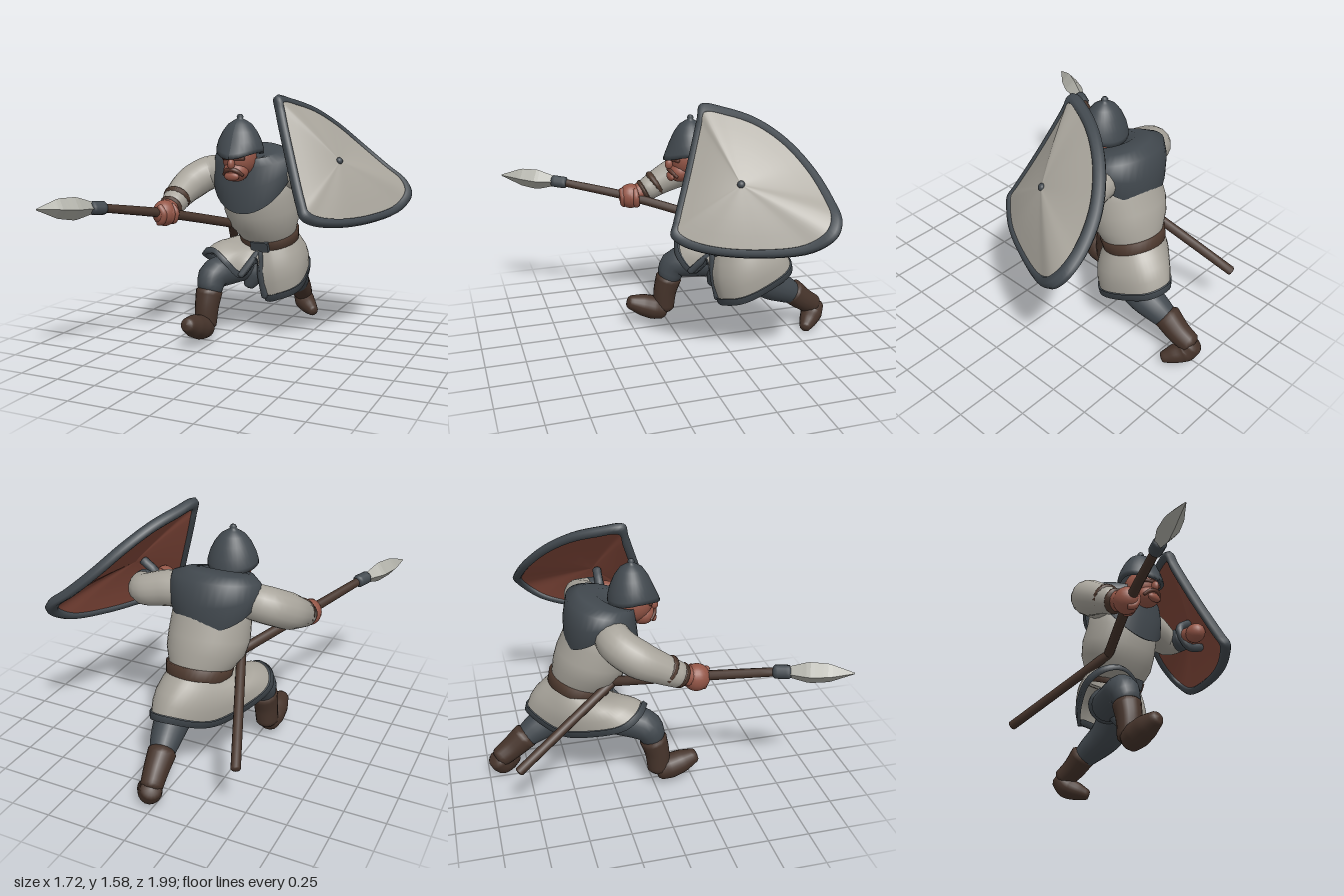
import * as THREE from 'three';

const mat = (name, color, side = THREE.FrontSide) => {
  const m = new THREE.MeshStandardMaterial({ color, side });
  m.name = name;
  return m;
};
const V = (x, y, z) => new THREE.Vector3(x, y, z);

// Skin a list of rings (equal point counts) into one smooth surface
function loft(rings, closeRings = false) {
  const n = rings[0].length, pos = [], idx = [];
  rings.forEach(r => r.forEach(p => pos.push(p.x, p.y, p.z)));
  const last = closeRings ? rings.length : rings.length - 1;
  for (let i = 0; i < last; i++) for (let j = 0; j < n; j++) {
    const k = (j + 1) % n, a = i * n, b = ((i + 1) % rings.length) * n;
    idx.push(a + j, b + j, a + k, a + k, b + j, b + k);
  }
  const g = new THREE.BufferGeometry();
  g.setAttribute('position', new THREE.Float32BufferAttribute(pos, 3));
  g.setIndex(idx);
  g.computeVertexNormals();
  return g;
}

// Rounded tube through [x, y, z, radius] points
function limb(pts, sides = 16, flat = 1) {
  const curve = new THREE.CatmullRomCurve3(pts.map(p => V(p[0], p[1], p[2])));
  const n = (pts.length - 1) * 5, f = curve.computeFrenetFrames(n), rings = [];
  const ring = (i, push, scale) => {
    const t = curve.getUtoTmapping(i / n), s = t * (pts.length - 1);
    const k = Math.min(Math.floor(s), pts.length - 2);
    const r = THREE.MathUtils.lerp(pts[k][3], pts[k + 1][3], s - k);
    const c = curve.getPoint(t).addScaledVector(f.tangents[i], push * r);
    rings.push(Array.from({ length: sides }, (_, j) => {
      const a = j / sides * Math.PI * 2;
      return c.clone().addScaledVector(f.normals[i], Math.cos(a) * r * scale)
        .addScaledVector(f.binormals[i], -Math.sin(a) * r * scale * flat);
    }));
  };
  ring(0, -0.4, 0); ring(0, -0.28, 0.75);
  for (let i = 0; i <= n; i++) ring(i, 0, 1);
  ring(n, 0.28, 0.75); ring(n, 0.4, 0);
  return loft(rings);
}

// Ellipse ring; slope lowers the front, drop(sin) shapes the edge further
const oval = (x, y, z, rx, rz, slope = 0, drop = () => 0, n = 40) =>
  Array.from({ length: n }, (_, j) => {
    const a = j / n * Math.PI * 2, s = Math.sin(a);
    return V(x + rx * Math.cos(a), y - rz * s * slope - drop(s), z + rz * s);
  });

export function createModel() {
  const model = new THREE.Group();
  const cloth = mat('pale cloth', 0xa9a59c, THREE.DoubleSide);
  const blue = mat('slate blue', 0x42494f, THREE.DoubleSide);
  const leather = mat('brown leather', 0x46342b);
  const belt = mat('belt leather', 0x503b30);
  const skin = mat('skin', 0x945647);
  const hair = mat('dark hair', 0x5c372c);
  const lining = mat('shield lining', 0x84493b, THREE.DoubleSide);
  const steel = mat('steel', 0xacaca4);

  const add = (name, geo, material) => {
    const m = new THREE.Mesh(geo, material);
    m.name = name;
    model.add(m);
    return m;
  };
  const ball = (name, material, x, y, z, rx, ry, rz) => {
    const m = add(name, new THREE.SphereGeometry(1, 20, 14), material);
    m.position.set(x, y, z);
    m.scale.set(rx, ry, rz);
    return m;
  };

  // Torso, mantle and belt
  add('torso', loft([
    oval(-0.04, 0.64, -0.415, 0.175, 0.165, 0.32), oval(-0.045, 0.69, -0.395, 0.19, 0.18, 0.32),
    oval(-0.06, 0.77, -0.36, 0.235, 0.205, 0.3), oval(-0.07, 0.86, -0.33, 0.245, 0.212, 0.28),
    oval(-0.07, 0.96, -0.3, 0.24, 0.2, 0.25), oval(-0.08, 1.09, -0.28, 0.23, 0.185, 0.25),
    oval(-0.09, 1.17, -0.25, 0.15, 0.13, 0.3),
  ]), cloth);
  const bib = k => s => k * (s > 0 ? 0.28 : 0.16) * Math.abs(s) ** 1.15;
  add('mantle', loft([
    oval(-0.09, 1.125, -0.28, 0.255, 0.2, 0, bib(1)), oval(-0.09, 1.12, -0.28, 0.277, 0.217, 0, bib(1)),
    oval(-0.09, 1.165, -0.28, 0.282, 0.218, 0.1, bib(0.5)), oval(-0.09, 1.21, -0.275, 0.265, 0.2, 0.25, bib(0.1)),
    oval(-0.095, 1.23, -0.24, 0.2, 0.165, 0.25), oval(-0.1, 1.22, -0.19, 0.13, 0.12, 0.4),
    oval(-0.1, 1.17, -0.15, 0.08, 0.08, 0.4),
  ]), blue);
  add('belt', loft([
    oval(-0.04, 0.625, -0.42, 0.17, 0.16, 0.32), oval(-0.04, 0.627, -0.42, 0.192, 0.182, 0.32),
    oval(-0.042, 0.692, -0.4, 0.202, 0.19, 0.32), oval(-0.042, 0.694, -0.4, 0.17, 0.17, 0.32),
  ]), belt);
  const buckle = add('buckle', new THREE.BoxGeometry(0.12, 0.065, 0.035), blue);
  buckle.position.set(-0.03, 0.608, -0.226);
  buckle.rotation.x = 0.3;

  // Skirt: [waist angle, hem x, y, z]; draped over the forward thigh, slit in front
  const hem = [
    [0, 0.185, 0.34, -0.48], [35, 0.17, 0.29, -0.36], [65, 0.09, 0.255, -0.28], [82, 0.0, 0.24, -0.26],
    [90, -0.04, 0.5, -0.2], [97, -0.115, 0.415, -0.11], [112, -0.19, 0.51, -0.035], [135, -0.28, 0.575, -0.05],
    [160, -0.37, 0.56, -0.1], [180, -0.41, 0.505, -0.2], [205, -0.32, 0.43, -0.39],
    [235, -0.18, 0.38, -0.56], [275, 0.01, 0.46, -0.735], [315, 0.13, 0.43, -0.69],
  ];
  const loop = pts => new THREE.CatmullRomCurve3(pts, true).getPoints(84).slice(0, 84);
  const hemLine = loop(hem.map(h => V(h[1], h[2], h[3])));
  const waistLine = loop(hem.map(h => {
    const a = THREE.MathUtils.degToRad(h[0]), s = Math.sin(a);
    return V(-0.04 + 0.18 * Math.cos(a), 0.65 - 0.055 * s, -0.41 + 0.17 * s);
  }));
  const drape = (t, out = 0) => hemLine.map((h, j) => {
    const w = waistLine[j], len = w.distanceTo(h);
    const u = t < 1 ? t * (1 - Math.min(0.045 / len, 0.45)) : 1;
    // shallow falls lie over the thigh, so they bulge upward as well
    const lift = THREE.MathUtils.clamp(1 - (w.y - h.y) / len, 0.1, 1);
    const p = w.clone().lerp(h, u), d = V(w.x + 0.04, 0, w.z + 0.41).normalize();
    d.y = lift;
    return p.addScaledVector(d, 0.035 * Math.sin(Math.PI * u) + out);
  });
  const edge = 0.9999;
  add('skirt', loft([edge, 0.75, 0.5, 0.25, 0].map(t => drape(t))), cloth);
  add('skirtTrim', loft([drape(edge, -0.012), drape(1, -0.012), drape(1, 0.01), drape(edge, 0.01)]), blue);
  add('slitTrimLeft', limb([[-0.03, 0.57, -0.22, 0.02], [-0.025, 0.42, -0.23, 0.026], [-0.005, 0.27, -0.255, 0.026]], 8), blue);
  add('slitTrimRight', limb([[-0.045, 0.57, -0.21, 0.016], [-0.075, 0.5, -0.15, 0.022], [-0.115, 0.43, -0.1, 0.022]], 8), blue);
  ball('hips', blue, -0.04, 0.51, -0.42, 0.15, 0.12, 0.14);
  add('underskirt', limb([[-0.08, 0.48, -0.32, 0.09], [-0.1, 0.4, -0.28, 0.075], [-0.12, 0.33, -0.25, 0.035]]), blue);

  // Legs and boots
  add('rightTrouser', limb([[-0.12, 0.47, -0.36, 0.105], [-0.22, 0.455, -0.17, 0.102],
    [-0.28, 0.43, -0.05, 0.1], [-0.285, 0.34, 0, 0.078]]), blue);
  add('rightBootShaft', limb([[-0.29, 0.335, -0.005, 0.086], [-0.295, 0.24, 0.02, 0.077], [-0.3, 0.12, 0.03, 0.07]]), leather);
  add('rightBootFoot', limb([[-0.3, 0.105, 0.035, 0.07], [-0.305, 0.122, 0.1, 0.08],
    [-0.31, 0.15, 0.18, 0.072], [-0.31, 0.178, 0.26, 0.045]]), leather);
  add('leftTrouser', limb([[0.05, 0.48, -0.45, 0.12], [0.06, 0.37, -0.57, 0.11],
    [0.045, 0.3, -0.69, 0.09], [0.03, 0.25, -0.77, 0.07]]), blue);
  add('leftBootShaft', limb([[0.03, 0.27, -0.755, 0.085], [0.025, 0.2, -0.84, 0.075], [0.01, 0.145, -0.925, 0.066]]), leather);
  add('leftBootFoot', limb([[0.0, 0.145, -0.945, 0.062], [0.03, 0.09, -0.91, 0.072],
    [0.085, 0.06, -0.86, 0.056], [0.13, 0.04, -0.82, 0.035]]), leather);

  // Right arm gripping the spear
  add('rightSleeve', limb([[-0.27, 1.09, -0.26, 0.105], [-0.4, 1.07, -0.24, 0.11], [-0.48, 1.01, -0.14, 0.11],
    [-0.5, 0.95, -0.02, 0.092], [-0.5, 0.89, 0.09, 0.076]]), cloth);
  add('rightCuff', limb([[-0.5, 0.937, 0.018, 0.09], [-0.5, 0.928, 0.032, 0.089]]), belt);
  add('rightCuffEdge', limb([[-0.5, 0.89, 0.1, 0.077], [-0.5, 0.885, 0.11, 0.075]]), belt);
  add('rightWrist', limb([[-0.5, 0.895, 0.08, 0.066], [-0.495, 0.87, 0.17, 0.06]]), skin);
  ball('rightHand', skin, -0.495, 0.86, 0.195, 0.074, 0.082, 0.08);
  for (let i = 0; i < 4; i++) {
    const x = -0.475 - i * 0.014, z = 0.155 + i * 0.026;
    add('rightFinger', limb([[x + 0.02, 0.91, z + 0.02, 0.02], [x + 0.05, 0.865, z + 0.02, 0.022],
      [x + 0.035, 0.815, z + 0.015, 0.021], [x, 0.8, z, 0.018]], 8), skin);
  }

  // Left arm reaching behind the shield
  add('leftSleeve', limb([[0.08, 1.1, -0.29, 0.11], [0.22, 1.09, -0.31, 0.108], [0.365, 1.06, -0.32, 0.095],
    [0.42, 1.06, -0.24, 0.075]]), cloth);
  add('leftCuff', limb([[0.405, 1.06, -0.25, 0.08], [0.41, 1.06, -0.21, 0.077]]), blue);
  add('leftForearm', limb([[0.41, 1.06, -0.21, 0.062], [0.38, 1.05, -0.1, 0.055]]), skin);
  ball('leftHand', skin, 0.37, 1.04, -0.06, 0.06, 0.065, 0.07);

  // Head and face
  ball('head', skin, -0.11, 1.19, -0.09, 0.105, 0.12, 0.12);
  ball('jaw', skin, -0.11, 1.115, -0.03, 0.08, 0.066, 0.075);
  ball('nose', skin, -0.11, 1.165, 0.04, 0.022, 0.035, 0.028);
  ball('mouth', skin, -0.11, 1.088, 0.033, 0.05, 0.028, 0.022);
  add('moustache', limb([[-0.175, 1.095, 0.008, 0.01], [-0.145, 1.123, 0.034, 0.014], [-0.11, 1.132, 0.044, 0.013],
    [-0.075, 1.123, 0.034, 0.014], [-0.045, 1.095, 0.008, 0.01]], 8), hair);
  add('brow', limb([[-0.18, 1.2, 0.002, 0.014], [-0.11, 1.2, 0.026, 0.015], [-0.04, 1.2, 0.002, 0.014]], 8), hair);

  // Helmet, low in front with a slight peak
  const profile = [[0.13, 1.235], [0.152, 1.235], [0.151, 1.26], [0.138, 1.305], [0.11, 1.36], [0.075, 1.405],
    [0.035, 1.43], [0.018, 1.438], [0.022, 1.45], [0.014, 1.463], [0, 1.467]];
  const dome = new THREE.LatheGeometry(profile.map(p => new THREE.Vector2(...p)), 32);
  const hp = dome.attributes.position;
  for (let i = 0; i < hp.count; i++) {
    const z = hp.getZ(i), low = Math.max(0, (1.42 - hp.getY(i)) / 0.19);
    const front = Math.max(0, z / 0.152);
    hp.setZ(i, z * 0.93 + 0.035 * low ** 3 * front ** 5);
    hp.setY(i, hp.getY(i) - low * (0.04 * front ** 3 + 0.03 * Math.max(0, -z / 0.152)));
  }
  dome.computeVertexNormals();
  add('helmet', dome, blue).position.set(-0.11, 0, -0.095);

  // Spear with a bent shaft
  add('spearFront', limb([[-0.235, 0.745, -0.24, 0.03], [-0.48, 0.858, 0.2, 0.03], [-0.68, 0.94, 0.62, 0.026]], 10), leather);
  add('spearBack', limb([[-0.235, 0.745, -0.24, 0.03], [-0.48, 0.37, -0.85, 0.029]], 10), leather);
  add('spearSocket', limb([[-0.67, 0.937, 0.6, 0.04], [-0.705, 0.945, 0.67, 0.04]], 10), blue);
  const blade = limb([[-0.705, 0.945, 0.67, 0.036], [-0.75, 0.952, 0.77, 0.068],
    [-0.8, 0.963, 0.87, 0.058], [-0.852, 0.972, 0.992, 0.005]], 4, 0.9).toNonIndexed();
  blade.computeVertexNormals();
  add('spearBlade', blade, steel);

  // Shield: outline bent slightly back on the long side, domed face, raised rim
  const outline = loop([
    V(0.13, 1.575, -0.08), V(0.175, 1.555, -0.22), V(0.26, 1.5, -0.38), V(0.375, 1.395, -0.525), V(0.52, 1.25, -0.635),
    V(0.68, 1.11, -0.685), V(0.8, 1.02, -0.685), V(0.85, 0.945, -0.635), V(0.82, 0.86, -0.51), V(0.71, 0.815, -0.26),
    V(0.57, 0.815, 0), V(0.46, 0.845, 0.14), V(0.41, 0.885, 0.185), V(0.375, 0.95, 0.16), V(0.26, 1.22, 0.05),
    V(0.155, 1.49, -0.05),
  ]);
  const normal = V(0.77, 0.48, 0.42).normalize(), centre = V(0.47, 1.16, -0.22);
  const shell = (t, h) => outline.map(p => centre.clone().lerp(p, t).addScaledVector(normal, h));
  const steps = [0.9, 0.7, 0.5, 0.3, 0.12, 0];
  add('shieldFace', loft(steps.map(t => shell(t, 0.012 + 0.045 * (1 - t * t)))), cloth);
  add('shieldLining', loft(steps.map(t => shell(t, -0.025 + 0.045 * (1 - t * t))).reverse()), lining);
  add('shieldRim', loft([[0.885, 0.015], [0.9, 0.032], [0.96, 0.032], [1, 0.014], [1, -0.016],
    [0.96, -0.034], [0.9, -0.034], [0.885, -0.02]].map(s => shell(...s)).reverse(), true), blue);
  const boss = ball('shieldRivet', blue, 0.51, 1.19, -0.195, 0.022, 0.022, 0.018);
  boss.quaternion.setFromUnitVectors(V(0, 0, 1), normal);
  add('shieldStrap', limb([[0.44, 1.18, -0.19, 0.028], [0.355, 1.11, -0.19, 0.028], [0.4, 0.98, -0.15, 0.028],
    [0.5, 1.0, -0.13, 0.028]], 8), blue);
  return model;
}
